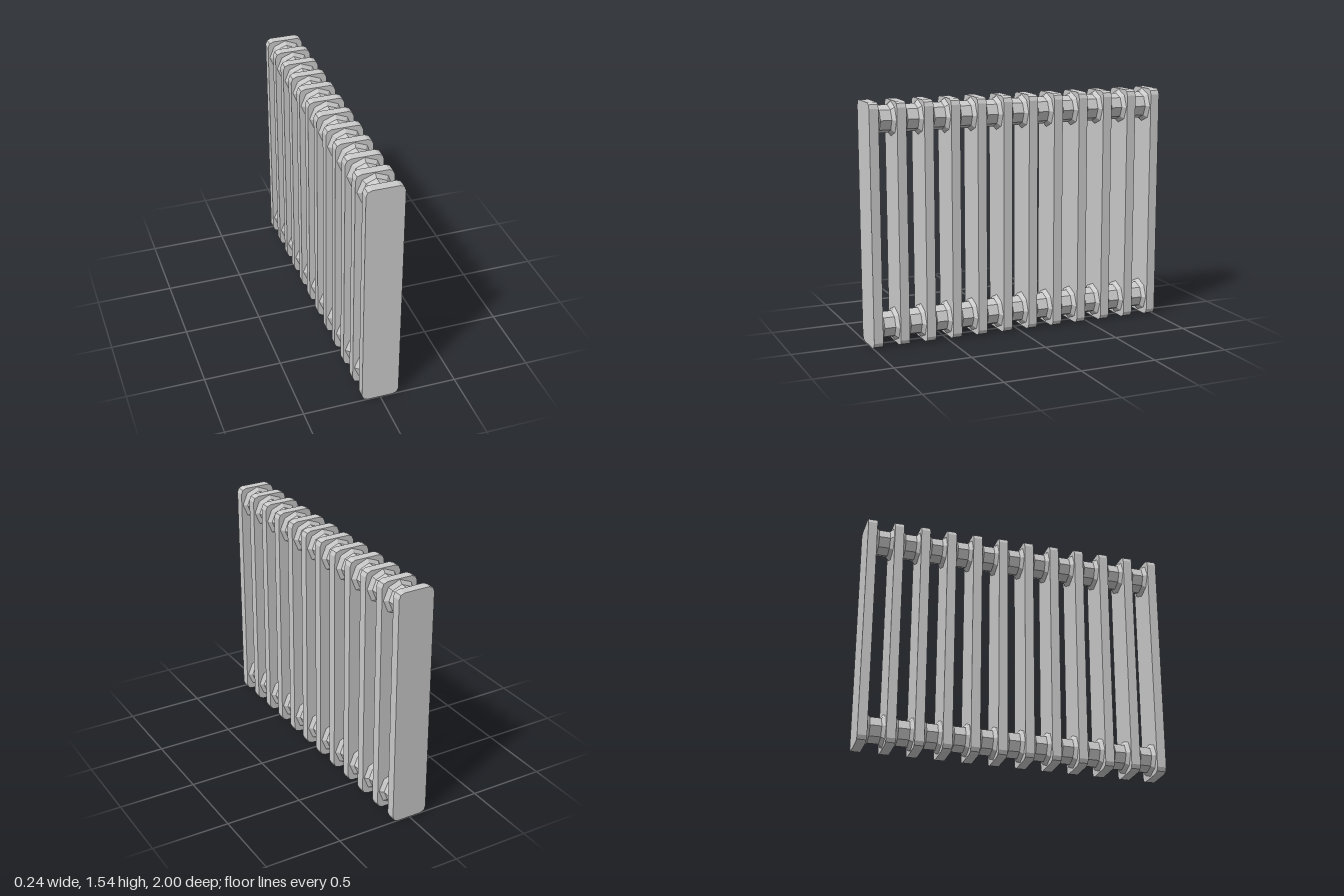
import * as THREE from 'three';

const COUNT = 12, WIDTH = 0.24, HEIGHT = 1.545, THICK = 0.06, CORNER = 0.037;
const PITCH = (2 - THICK) / (COUNT - 1);
const PIPE_R = 0.087, FLARE_R = 0.11, FLARE_LEN = 0.022;

// Upright slab with softened corners, extruded along z
function plateGeometry() {
  const w = WIDTH / 2, r = CORNER, s = new THREE.Shape();
  s.absarc(w - r, r, r, -Math.PI / 2, 0);
  s.absarc(w - r, HEIGHT - r, r, 0, Math.PI / 2);
  s.absarc(-w + r, HEIGHT - r, r, Math.PI / 2, Math.PI);
  s.absarc(-w + r, r, r, Math.PI, Math.PI * 1.5);
  s.closePath();
  const g = new THREE.ExtrudeGeometry(s, { depth: THICK, bevelEnabled: false, curveSegments: 1 });
  return g.translate(0, 0, -THICK / 2);
}

// Octagonal connector that flares where it meets the plates at both ends
function connectorGeometry() {
  const h = (PITCH - THICK) / 2;
  const profile = [
    [FLARE_R, -h], [PIPE_R, -h + FLARE_LEN], [PIPE_R, h - FLARE_LEN], [FLARE_R, h],
  ].map(([r, y]) => new THREE.Vector2(r, y));
  return new THREE.LatheGeometry(profile, 8).rotateX(Math.PI / 2);
}

export function createModel() {
  const model = new THREE.Group();
  model.name = 'radiator';
  const material = new THREE.MeshStandardMaterial({ color: 0xcccccc, flatShading: true });
  const plateGeo = plateGeometry(), connectorGeo = connectorGeometry();

  const add = (name, geometry, y, z) => {
    const mesh = new THREE.Mesh(geometry, material);
    mesh.name = name;
    mesh.position.set(0, y, z);
    model.add(mesh);
  };

  for (let i = 0; i < COUNT; i++) {
    const z = -1 + THICK / 2 + i * PITCH;
    add('plate', plateGeo, 0, z);
    // Upper and lower connectors to the next plate
    if (i < COUNT - 1) {
      add('lowerConnector', connectorGeo, 0.12, z + PITCH / 2);
      add('upperConnector', connectorGeo, 1.43, z + PITCH / 2);
    }
  }
  return model;
}
